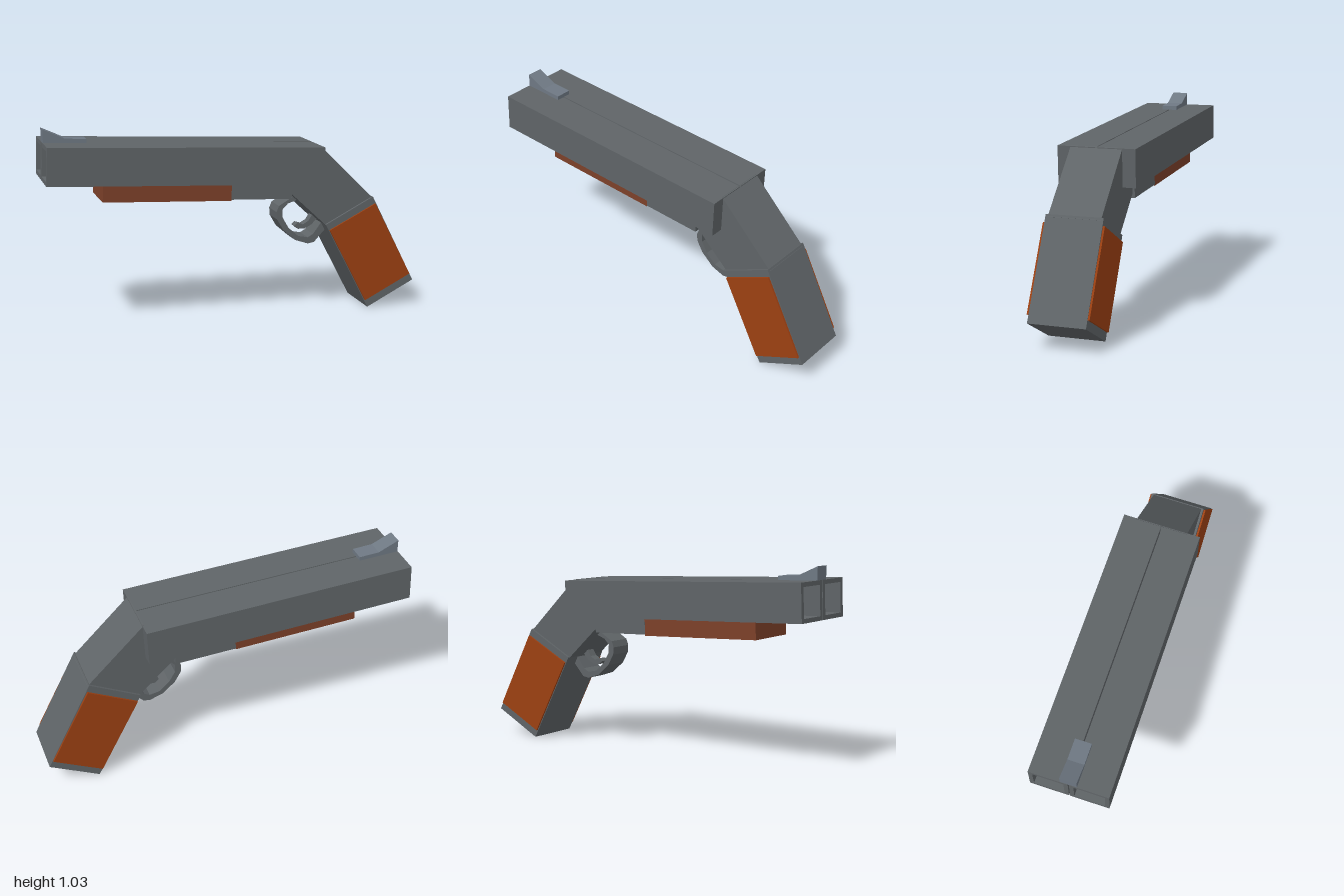
import * as THREE from 'three';

const mat = (color) => new THREE.MeshStandardMaterial({ color });
const metal = mat(0x5f6467);
const steel = mat(0x6e7883);
const gripWood = mat(0x9c4012);
const foreWood = mat(0x7c4029);

function outline(points) {
  return new THREE.Shape(points.map(([x, y]) => new THREE.Vector2(x, y)));
}

// Side profile in x/y, given thickness along z and centred on z
function slab(name, points, halfWidth, material, z = 0) {
  const geo = new THREE.ExtrudeGeometry(outline(points), { depth: halfWidth * 2, bevelEnabled: false });
  geo.translate(0, 0, z - halfWidth);
  const mesh = new THREE.Mesh(geo, material);
  mesh.name = name;
  return mesh;
}

// One square hollow barrel running along +x, open at the muzzle
function barrel(name, side) {
  const group = new THREE.Group();
  group.name = name;
  const length = 1.45, height = 0.195, inner = 0.003, outer = 0.205, wall = 0.022;
  const rect = (a, b, c, d) => [[a, b], [c, b], [c, d], [a, d]];
  const shape = outline(rect(inner, 0, outer, height));
  shape.holes.push(outline(rect(inner + wall, wall, outer - wall, height - wall).reverse()));
  const geo = new THREE.ExtrudeGeometry(shape, { depth: length, bevelEnabled: false });
  geo.rotateY(Math.PI / 2);
  const mid = (inner + outer) / 2;
  geo.translate(0, 0, mid + side * mid);
  const tube = new THREE.Mesh(geo, metal);
  tube.name = name + 'Tube';

  // Breech end closing the bore
  const plug = new THREE.Mesh(
    new THREE.BoxGeometry(0.05, height - 2 * wall, outer - inner - 2 * wall), metal);
  plug.position.set(length - 0.025, height / 2, side * mid);
  plug.name = name + 'Breech';
  group.add(tube, plug);
  return group;
}

export function createModel() {
  const model = new THREE.Group();
  model.name = 'doubleBarrelGun';

  // Twin barrels, tilted slightly down toward the breech
  const barrels = new THREE.Group();
  barrels.name = 'barrels';
  barrels.add(barrel('leftBarrel', 1), barrel('rightBarrel', -1));
  barrels.position.set(-1, 0.77, 0);
  barrels.rotation.z = -0.0414;
  model.add(barrels);

  // Front sight ramp
  model.add(slab('frontSight',
    [[-0.99, 0.955], [-0.77, 0.95], [-0.77, 0.977], [-0.88, 0.983], [-0.99, 1.033]], 0.043, steel));

  // Fore-end and the metal block behind it
  model.add(slab('foreEnd',
    [[-0.712, 0.665], [-0.037, 0.637], [-0.033, 0.732], [-0.708, 0.76]], 0.146, foreWood));
  model.add(slab('foreEndBlock',
    [[-0.037, 0.643], [0.293, 0.63], [0.297, 0.717], [-0.033, 0.731]], 0.147, metal));

  // Angled receiver joining barrels and grip
  model.add(slab('receiver',
    [[0.295, 0.655], [0.5, 0.465], [0.76, 0.605], [0.45, 0.907], [0.43, 0.85], [0.295, 0.73]], 0.136, metal));

  // Grip core with a wooden panel on each side
  model.add(slab('grip',
    [[0.735, 0.005], [0.997, 0.14], [0.753, 0.617], [0.487, 0.478]], 0.148, metal));
  for (const [name, side] of [['leftGripPanel', 1], ['rightGripPanel', -1]]) {
    model.add(slab(name,
      [[0.718, 0.046], [0.975, 0.178], [0.765, 0.58], [0.507, 0.448]], 0.01, gripWood, side * 0.148));
  }

  // Trigger guard strap: outer edge, then back along the inner edge
  model.add(slab('triggerGuard', [
    [0.33, 0.625], [0.25, 0.578], [0.237, 0.545], [0.24, 0.505], [0.275, 0.445], [0.345, 0.385],
    [0.415, 0.362], [0.45, 0.368], [0.525, 0.45], [0.49, 0.475],
    [0.445, 0.413], [0.415, 0.396], [0.36, 0.407], [0.305, 0.455], [0.272, 0.512], [0.27, 0.557],
    [0.3, 0.588], [0.35, 0.605],
  ], 0.065, metal));

  // Curved trigger
  model.add(slab('trigger', [
    [0.455, 0.515], [0.43, 0.477], [0.4, 0.46], [0.368, 0.47], [0.35, 0.455], [0.372, 0.437],
    [0.41, 0.437], [0.45, 0.458], [0.485, 0.495],
  ], 0.025, metal));

  return model;
}
